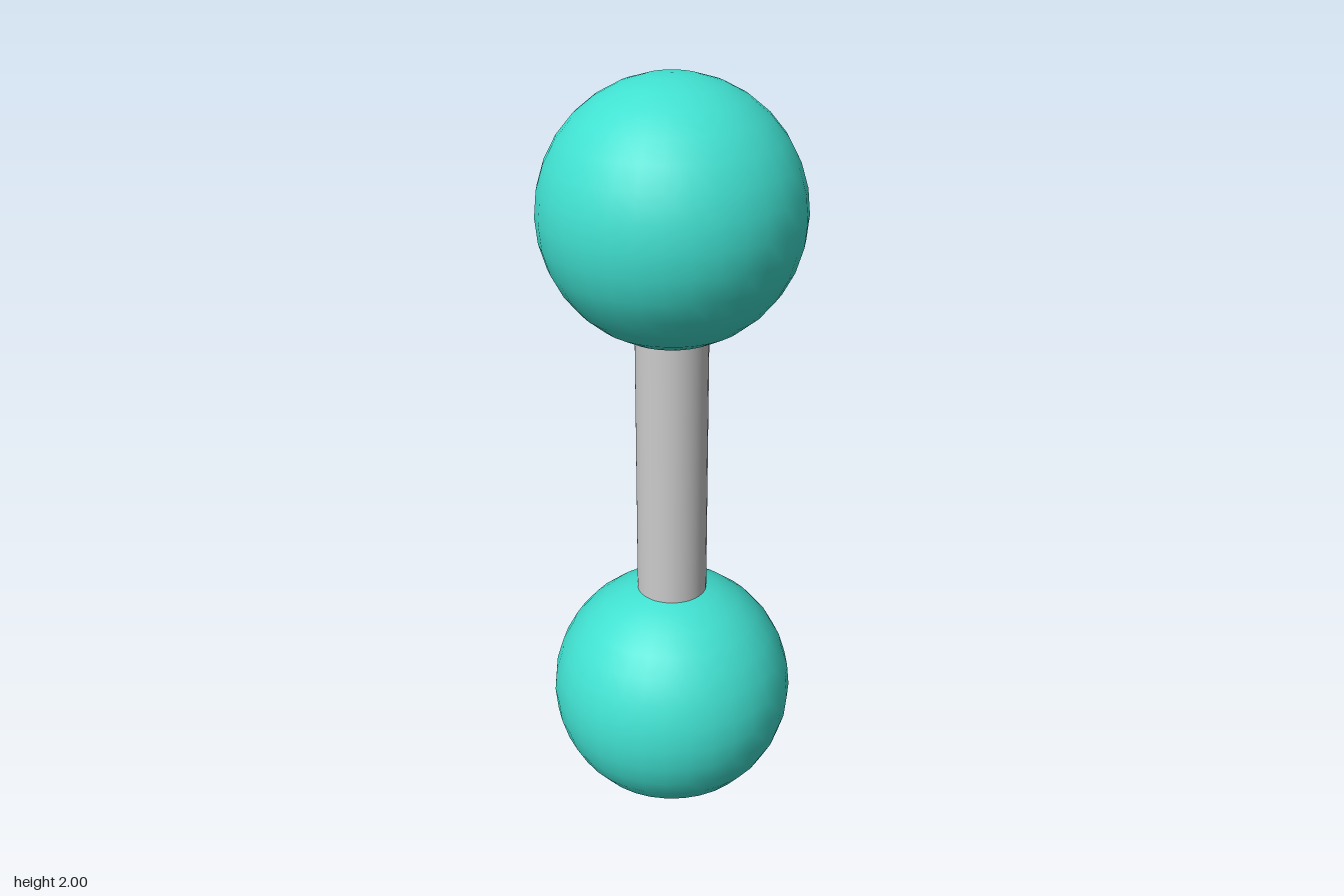
import * as THREE from 'three';

const RADIUS = 0.327;
const ROD_RADIUS = 0.093;

export function createModel() {
  const model = new THREE.Group();
  model.name = 'ballAndStickPair';

  const teal = new THREE.MeshStandardMaterial({ color: 0x40e0d0 });
  const grey = new THREE.MeshStandardMaterial({ color: 0xcccccc });

  // Two equal balls, one standing on the ground and one on top
  const ballGeometry = new THREE.SphereGeometry(RADIUS, 32, 16);
  for (const [name, y] of [['lowerBall', RADIUS], ['upperBall', 2 - RADIUS]]) {
    const ball = new THREE.Mesh(ballGeometry, teal);
    ball.name = name;
    ball.position.y = y;
    model.add(ball);
  }

  // Rod running from ball centre to ball centre
  const rod = new THREE.Mesh(
    new THREE.CylinderGeometry(ROD_RADIUS, ROD_RADIUS, 2 - 2 * RADIUS, 32),
    grey
  );
  rod.name = 'connectingRod';
  rod.position.y = 1;
  model.add(rod);

  return model;
}
